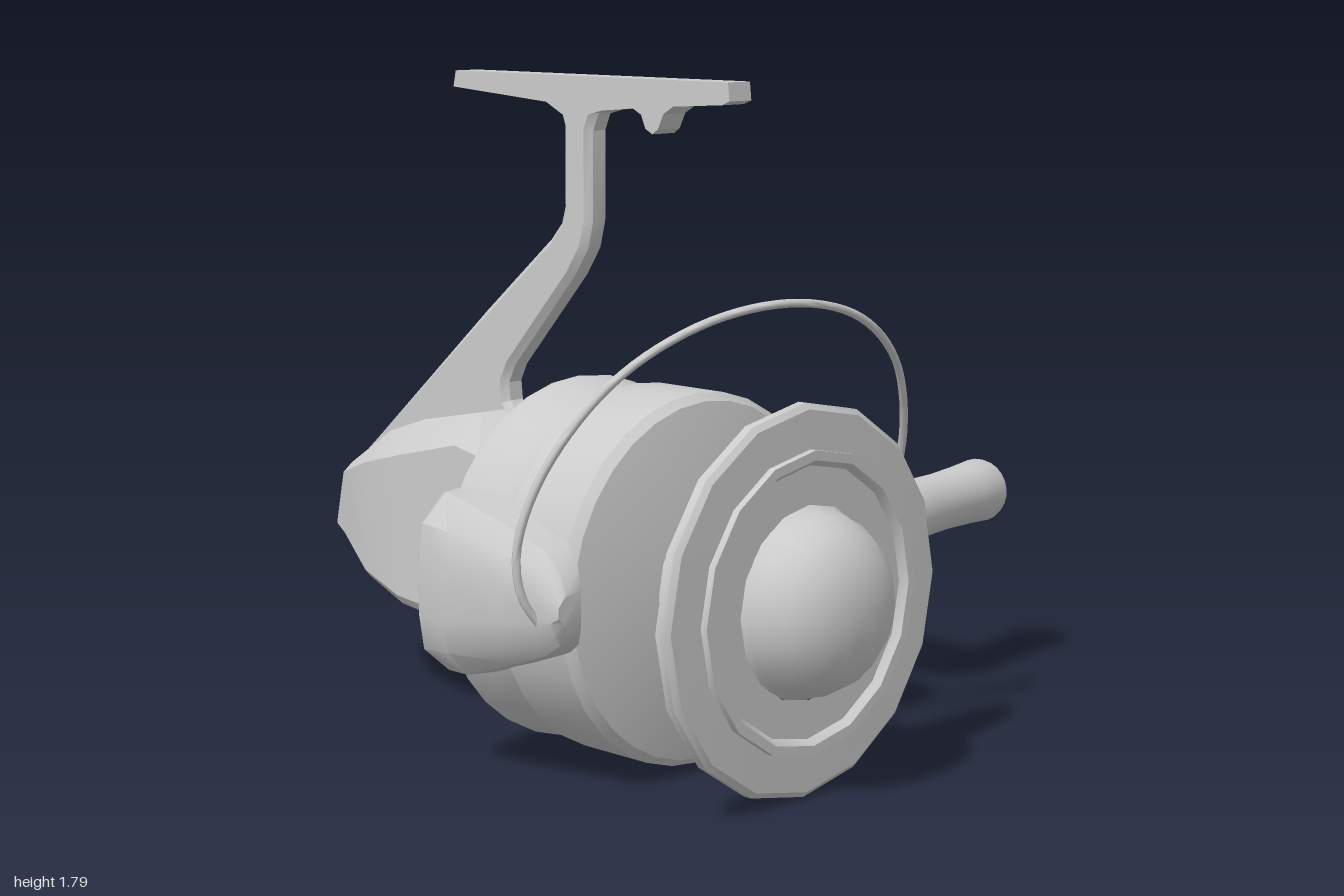
import * as THREE from 'three';
import { toCreasedNormals } from 'three/addons/utils/BufferGeometryUtils.js';

const AXIS_X = -0.365, AXIS_Y = 0.515;
const material = new THREE.MeshStandardMaterial({ color: 0xcccccc });

function mesh(name, geometry, crease = 0.6) {
  const m = new THREE.Mesh(toCreasedNormals(geometry, crease), material);
  m.name = name;
  return m;
}

// Skin through equal-length rings of [x, y, z] points, with closed ends
function loft(rings) {
  const tris = [];
  const n = rings[0].length;
  for (let i = 0; i < rings.length - 1; i++) {
    for (let j = 0; j < n; j++) {
      const k = (j + 1) % n, a = rings[i], b = rings[i + 1];
      tris.push([a[j], a[k], b[k]], [a[j], b[k], b[j]]);
    }
  }
  const first = rings[0], last = rings[rings.length - 1];
  for (let j = 1; j < n - 1; j++) {
    tris.push([first[0], first[j + 1], first[j]], [last[0], last[j], last[j + 1]]);
  }
  // Turn every face outward if the enclosed volume is negative
  let volume = 0;
  const [A, B, C] = [0, 1, 2].map(() => new THREE.Vector3());
  for (const [a, b, c] of tris) {
    volume += A.fromArray(a).dot(B.fromArray(b).cross(C.fromArray(c)));
  }
  if (volume < 0) tris.forEach((t) => t.reverse());
  const g = new THREE.BufferGeometry();
  g.setAttribute('position', new THREE.Float32BufferAttribute(tris.flat(2), 3));
  return g;
}

// Profile of [radius, z] points turned about the reel's long axis
function turned(profile, segments) {
  const g = new THREE.LatheGeometry(profile.map(([r, z]) => new THREE.Vector2(r, z)), segments);
  return g.rotateX(Math.PI / 2).translate(AXIS_X, AXIS_Y, 0);
}

// Side outline of [z, y] points given a thickness in x
function slab(outline, width, bevel) {
  const shape = new THREE.Shape(outline.map(([z, y]) => new THREE.Vector2(z, y)));
  const depth = width - 2 * bevel;
  const g = new THREE.ExtrudeGeometry(shape, {
    depth, bevelEnabled: bevel > 0, bevelThickness: bevel, bevelSize: bevel,
    bevelOffset: -bevel, bevelSegments: 1,
  });
  return g.translate(0, 0, -depth / 2).rotateY(-Math.PI / 2).translate(AXIS_X, 0, 0);
}

// Profile of [radius, distance] points turned about a line from start towards end
function turnedAlong(profile, start, end, segments = 24) {
  const g = new THREE.LatheGeometry(profile.map(([r, d]) => new THREE.Vector2(r, d)), segments);
  const dir = end.clone().sub(start).normalize();
  g.applyQuaternion(new THREE.Quaternion().setFromUnitVectors(new THREE.Vector3(0, 1, 0), dir));
  return g.translate(start.x, start.y, start.z);
}

export function createModel() {
  const model = new THREE.Group();
  model.name = 'fishingReel';

  // Spool with flared lip, raised ring and domed drag knob
  model.add(mesh('spool', turned([
    [0, 0.48], [0.22, 0.48], [0.22, 0.72], [0.49, 0.765], [0.505, 0.775], [0.505, 0.8], [0.49, 0.812],
    [0.39, 0.815], [0.39, 0.835], [0.365, 0.835], [0.35, 0.815], [0.25, 0.815],
  ], 16)));
  model.add(mesh('dragKnob', turned([
    [0.25, 0.81], [0.24, 0.83], [0.23, 0.87], [0.2, 0.925], [0.15, 0.97], [0.08, 0.995], [0, 1],
  ], 20), 0.8));

  // Rotor drum with a shallow waist near the back
  model.add(mesh('rotor', turned([
    [0, -0.03], [0.465, -0.03], [0.487, -0.015], [0.49, 0.01], [0.475, 0.07], [0.467, 0.13],
    [0.475, 0.185], [0.49, 0.2], [0.49, 0.43], [0.47, 0.455], [0.235, 0.505], [0, 0.505],
  ], 32)));

  // Rotor arms: [z, bottom, top, inner, outer]
  const armStations = [
    [-0.03, 0.28, 0.76, 0.3, 0.555], [0, 0.27, 0.77, 0.3, 0.58], [0.1, 0.28, 0.76, 0.36, 0.585],
    [0.3, 0.35, 0.715, 0.42, 0.585], [0.43, 0.4, 0.68, 0.46, 0.583], [0.49, 0.44, 0.63, 0.485, 0.58],
    [0.515, 0.49, 0.58, 0.5, 0.575],
  ];
  for (const [side, name] of [[1, 'leftRotorArm'], [-1, 'rightRotorArm']]) {
    model.add(mesh(name, loft(armStations.map(([z, b, t, inner, outer]) => {
      const h = t - b, mid = inner + (outer - inner) * 0.65;
      return [[inner, t], [mid, t - 0.03 * h], [outer - 0.015, t - 0.17 * h], [outer, t - 0.35 * h],
        [outer, b + 0.35 * h], [outer - 0.015, b + 0.17 * h], [mid, b + 0.03 * h], [inner, b]]
        .map(([dx, y]) => [AXIS_X + side * dx, y, z]);
    }))));
  }

  // Wire bail
  const bailPath = new THREE.CatmullRomCurve3([
    [-0.93, 0.49, 0.44], [-0.975, 0.56, 0.425], [-0.99, 0.68, 0.42], [-0.94, 0.87, 0.46],
    [-0.8, 1.09, 0.56], [-0.6, 1.22, 0.66], [-0.37, 1.262, 0.735], [-0.13, 1.215, 0.755],
    [0.07, 1.08, 0.72], [0.2, 0.87, 0.645], [0.247, 0.67, 0.56], [0.24, 0.55, 0.49], [0.19, 0.48, 0.43],
  ].map((p) => new THREE.Vector3(...p)));
  model.add(mesh('bail', new THREE.TubeGeometry(bailPath, 64, 0.011, 8), 1.2));

  // Gear housing: [z, bottom, shoulder, top, half width, half width on top]
  const housing = [
    [-0.02, 0.26, 0.72, 0.84, 0.15, 0.1], [-0.25, 0.28, 0.77, 0.89, 0.15, 0.06],
    [-0.35, 0.275, 0.79, 0.87, 0.15, 0.05], [-0.6, 0.305, 0.73, 0.82, 0.15, 0.04],
    [-0.75, 0.36, 0.69, 0.77, 0.142, 0.04], [-0.93, 0.44, 0.63, 0.655, 0.07, 0.038],
    [-1, 0.465, 0.472, 0.478, 0.04, 0.03],
  ];
  model.add(mesh('gearHousing', loft(housing.map(([z, b, s, t, w, wt]) => {
    const low = b + 0.06 * (s - b);
    return [[wt, t], [w, s], [w, low], [w * 0.88, b], [-w * 0.88, b], [-w, low], [-w, s], [-wt, t]]
      .map(([dx, y]) => [AXIS_X + dx, y, z]);
  })), 0.4));

  // Stem sweeping up from the housing to the foot
  model.add(mesh('stem', slab([
    [-0.93, 0.65], [-0.35, 1.15], [-0.09, 1.365], [-0.05, 1.41], [-0.035, 1.46], [-0.035, 1.67], [-0.05, 1.71],
    [-0.1, 1.75], [0.14, 1.75], [0.09, 1.705], [0.07, 1.66], [0.068, 1.42], [0.05, 1.35], [0, 1.275],
    [-0.24, 1.01], [-0.265, 0.96], [-0.26, 0.91], [-0.22, 0.87], [-0.25, 0.75], [-0.75, 0.65],
  ], 0.08, 0.018), 0.4));

  // Mounting foot with a small finger tab underneath
  model.add(mesh('foot', slab([
    [0.57, 1.802], [0.575, 1.755], [0.55, 1.745], [0.38, 1.735], [0.345, 1.715], [0.325, 1.675],
    [0.305, 1.662], [0.28, 1.675], [0.265, 1.71], [0.235, 1.725], [0.12, 1.715], [0.06, 1.7],
    [-0.03, 1.7], [-0.09, 1.73], [-0.46, 1.758], [-0.45, 1.802],
  ], 0.08, 0), 0.3));

  // Crank hub and shaft on the left side
  const hub = new THREE.Vector3(0, 0.545, -0.41);
  model.add(mesh('crankShaft', turnedAlong([
    [0, -0.25], [0.165, -0.25], [0.165, -0.215], [0.12, -0.18], [0.1, -0.155], [0.1, 0.03],
    [0.091, 0.032], [0.091, 0.355], [0, 0.355],
  ], hub, new THREE.Vector3(1, 0.545, -0.41))));

  // Crank arm: [z, inner x, outer x, half height]
  const crank = [
    [-0.5, 0.34, 0.375, 0.03], [-0.47, 0.34, 0.379, 0.068], [-0.41, 0.343, 0.387, 0.092],
    [-0.32, 0.355, 0.4, 0.092], [0.3, 0.44, 0.485, 0.075], [0.38, 0.452, 0.496, 0.06], [0.41, 0.457, 0.5, 0.035],
  ];
  model.add(mesh('crankArm', loft(crank.map(([z, a, b, h]) =>
    [[a, -h], [b, -h], [b, h], [a, h]].map(([x, y]) => [x, 0.548 + y, z])))));

  // Grip with a slight waist, on a thin pin
  const pinStart = new THREE.Vector3(0.47, 0.55, 0.367);
  model.add(mesh('crankGrip', turnedAlong([
    [0, 0], [0.03, 0], [0.03, 0.048], [0.082, 0.048], [0.089, 0.058], [0.085, 0.16], [0.083, 0.28],
    [0.087, 0.4], [0.093, 0.5], [0.088, 0.516], [0, 0.52],
  ], pinStart, new THREE.Vector3(0.985, 0.55, 0.296))));

  return model;
}
